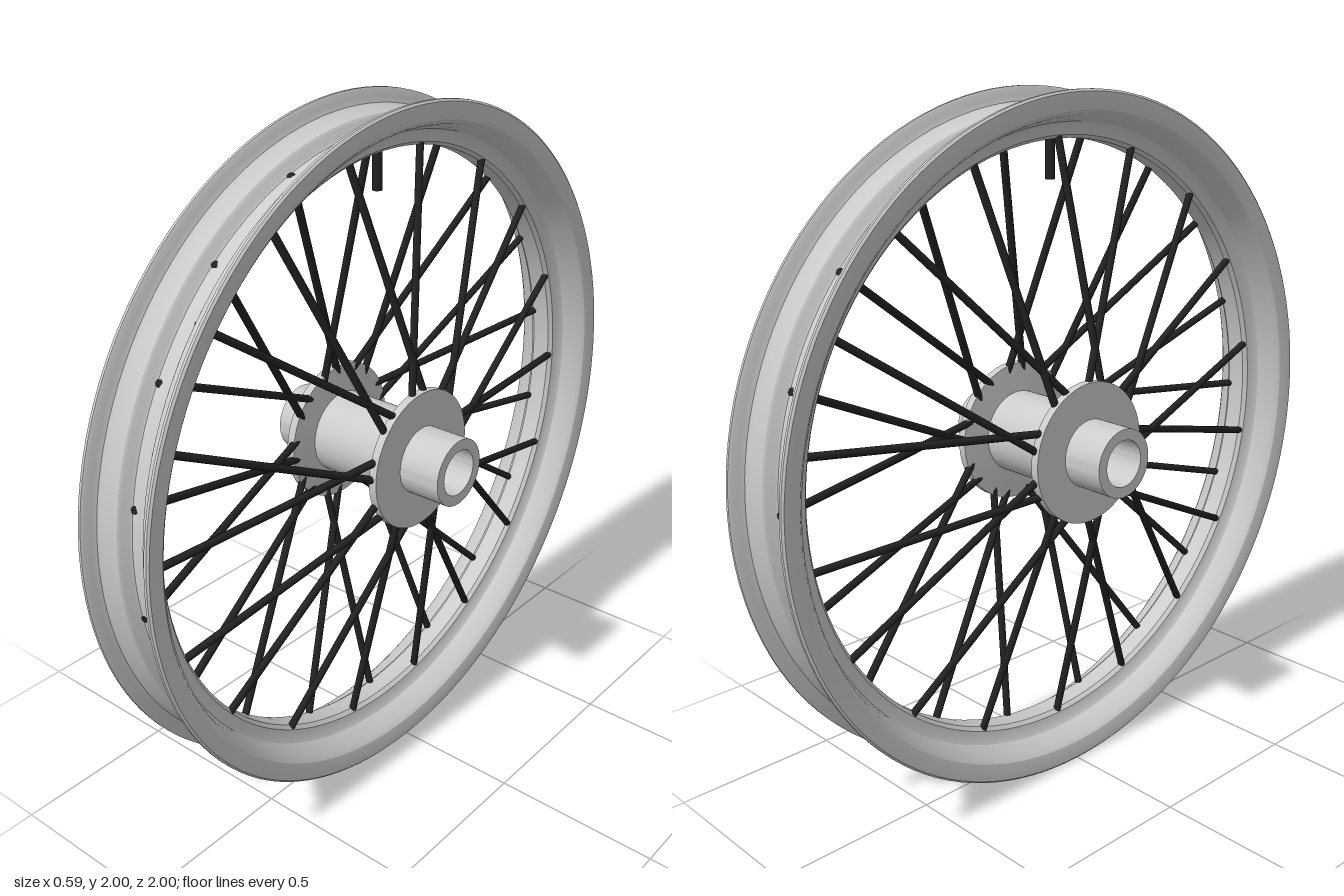
import * as THREE from 'three';
import { toCreasedNormals } from 'three/addons/utils/BufferGeometryUtils.js';

const grey = new THREE.MeshStandardMaterial({ color: 0xcccccc });
const black = new THREE.MeshStandardMaterial({ color: 0x222222 });

// Closed ring around the x axis from one half of a symmetric section.
// Points are [x, radius]: outer runs centre -> edge, inner runs edge -> centre.
function ring(outer, inner, segments) {
  const flip = (list) => list.map(([x, r]) => [-x, r]).reverse();
  const loop = [...flip(outer), ...outer, ...inner, ...flip(inner)];
  loop.push(loop[0]);
  const points = loop.map(([x, r]) => new THREE.Vector2(r, x));
  const geometry = new THREE.LatheGeometry(points, segments).rotateZ(-Math.PI / 2);
  return toCreasedNormals(geometry, 0.5);
}

// Point at an angle from the top of the wheel towards +z
function polar(x, radius, degrees) {
  const a = THREE.MathUtils.degToRad(degrees);
  return new THREE.Vector3(x, radius * Math.cos(a), radius * Math.sin(a));
}

// Straight round bar between two points
function rod(from, to, radius, sides) {
  const direction = to.clone().sub(from);
  const mesh = new THREE.Mesh(
    new THREE.CylinderGeometry(radius, radius, direction.length(), sides), black);
  mesh.position.copy(from).add(to).multiplyScalar(0.5);
  mesh.quaternion.setFromUnitVectors(new THREE.Vector3(0, 1, 0), direction.normalize());
  return mesh;
}

export function createModel() {
  const wheel = new THREE.Group();
  wheel.name = 'spokedWheel';

  // Rim: centre well, sloped bead seats and upright lips
  const rim = new THREE.Mesh(ring(
    [[0.028, 0.91], [0.034, 0.916], [0.04, 0.936], [0.047, 0.943], [0.088, 0.953],
      [0.1, 0.96], [0.107, 0.975], [0.11, 0.994], [0.114, 1], [0.122, 1], [0.127, 0.994]],
    [[0.126, 0.97], [0.12, 0.945], [0.108, 0.932], [0.055, 0.912],
      [0.046, 0.9], [0.04, 0.876], [0.028, 0.866]],
    128), grey);
  rim.name = 'rim';
  wheel.add(rim);

  // Hub: bored barrel with two spoke flanges and axle sleeves
  const hub = new THREE.Mesh(ring(
    [[0.135, 0.122], [0.14, 0.207], [0.165, 0.207], [0.165, 0.1], [0.295, 0.1]],
    [[0.295, 0.068]],
    64), grey);
  hub.name = 'hub';
  wheel.add(hub);

  // Spokes: alternate sides, each leaning 20 degrees one way or the other
  const spokes = new THREE.Group();
  spokes.name = 'spokes';
  for (let i = 0; i < 36; i++) {
    const side = i % 2 ? 1 : -1;
    const lean = i % 4 === 0 || i % 4 === 3 ? 20 : -20;
    const spoke = rod(polar(side * 0.15, 0.18, i * 10 + lean),
      polar(side * 0.021, 0.911, i * 10), 0.011, 10);
    spoke.name = 'spoke';
    spokes.add(spoke);
  }
  wheel.add(spokes);

  // Valve stem at the top of the rim
  const valve = rod(polar(0, 0.755, 0), polar(0, 0.916, 0), 0.014, 16);
  valve.name = 'valveStem';
  wheel.add(valve);

  // Stand the wheel on the ground
  wheel.children.forEach((part) => { part.position.y += 1; });
  return wheel;
}
